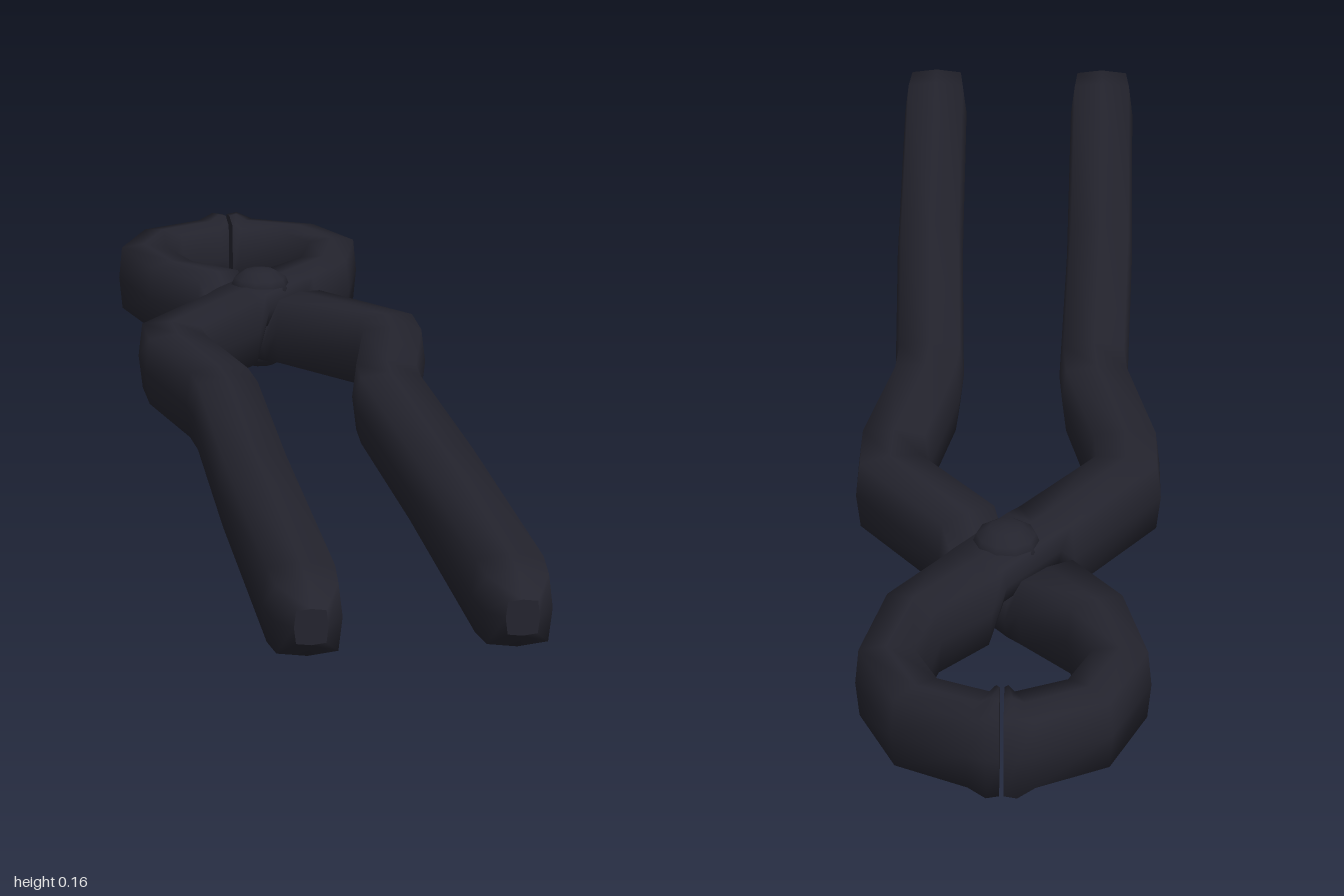
import * as THREE from 'three';

const MID = 0.08; // height of the tool's middle plane
const darkSteel = new THREE.MeshStandardMaterial({ color: 0x24242e });
darkSteel.name = 'darkSteel';

// Rounded-square section, eight points
const SECTION = [[1, 0], [0.88, 0.9], [0, 1], [-0.88, 0.9], [-1, 0], [-0.88, -0.9], [0, -1], [0.88, -0.9]];

// Stations along one arm: x, z, half width, half height, centre offset in y
const ARM = [
  [-0.135, 0.995, 0.022, 0.024, 0],
  [-0.135, 0.96, 0.045, 0.05, 0],
  [-0.135, 0.9, 0.05, 0.055, 0],
  [-0.13, 0.4, 0.05, 0.055, 0],
  [-0.12, 0.02, 0.05, 0.055, 0],
  [-0.124, -0.05, 0.05, 0.055, 0],
  [-0.163, -0.24, 0.05, 0.056, 0],
  [-0.165, -0.315, 0.048, 0.056, 0],
  // half-lap at the joint
  [-0.053, -0.467, 0.05, 0.056, 0],
  [-0.035, -0.491, 0.05, 0.028, 0.028],
  [0.037, -0.587, 0.05, 0.028, 0.028],
  [0.056, -0.61, 0.05, 0.056, 0],
  // curved jaw with a flared lip
  [0.122, -0.69, 0.043, 0.056, 0],
  [0.153, -0.81, 0.039, 0.056, 0],
  [0.112, -0.905, 0.04, 0.056, 0],
  [0.03, -0.945, 0.042, 0.057, 0],
  [0.014, -0.95, 0.046, 0.067, 0],
  [0.003, -0.95, 0.045, 0.064, 0],
];

// Sweeps the section along the stations with mitred bends and closed ends
function armGeometry() {
  const n = SECTION.length;
  const positions = [];
  const index = [];
  const points = ARM.map(([x, z]) => new THREE.Vector2(x, z));
  const last = points.length - 1;

  points.forEach((p, i) => {
    const before = p.clone().sub(points[Math.max(i - 1, 0)]).normalize();
    const after = points[Math.min(i + 1, last)].clone().sub(p).normalize();
    const t = before.clone().add(after).normalize();
    const miter = i === 0 || i === last ? 1 : 1 / Math.max(0.75, t.dot(after));
    const [, , halfW, halfH, lift] = ARM[i];
    for (const [a, b] of SECTION) {
      const s = a * halfW * miter;
      positions.push(p.x + t.y * s, lift + b * halfH, p.y - t.x * s);
    }
  });

  for (let i = 0; i < last; i++) {
    for (let j = 0; j < n; j++) {
      const a = i * n + j;
      const b = i * n + (j + 1) % n;
      index.push(a, b, a + n, b, b + n, a + n);
    }
  }

  // end caps with their own vertices
  for (const [ring, flip] of [[0, true], [last, false]]) {
    const base = positions.length / 3;
    for (let j = 0; j < n * 3; j++) positions.push(positions[ring * n * 3 + j]);
    for (let j = 1; j < n - 1; j++) {
      index.push(base, base + (flip ? j + 1 : j), base + (flip ? j : j + 1));
    }
  }

  const geometry = new THREE.BufferGeometry();
  geometry.setAttribute('position', new THREE.Float32BufferAttribute(positions, 3));
  geometry.setIndex(index);
  geometry.computeVertexNormals();
  return geometry;
}

export function createModel() {
  const group = new THREE.Group();
  group.name = 'pincers';

  // Two identical arms, the second turned over about the long axis
  const geometry = armGeometry();
  ['upperArm', 'lowerArm'].forEach((name, i) => {
    const arm = new THREE.Mesh(geometry, darkSteel);
    arm.name = name;
    arm.position.y = MID;
    arm.rotation.z = i * Math.PI;
    group.add(arm);
  });

  // Domed rivet heads above and below the joint
  const dome = new THREE.SphereGeometry(1, 10, 6);
  dome.scale(0.047, 0.03, 0.047);
  for (const side of [1, -1]) {
    const head = new THREE.Mesh(dome, darkSteel);
    head.name = side > 0 ? 'topRivetHead' : 'bottomRivetHead';
    head.position.set(0, MID + side * 0.049, -0.537);
    group.add(head);
  }
  return group;
}
